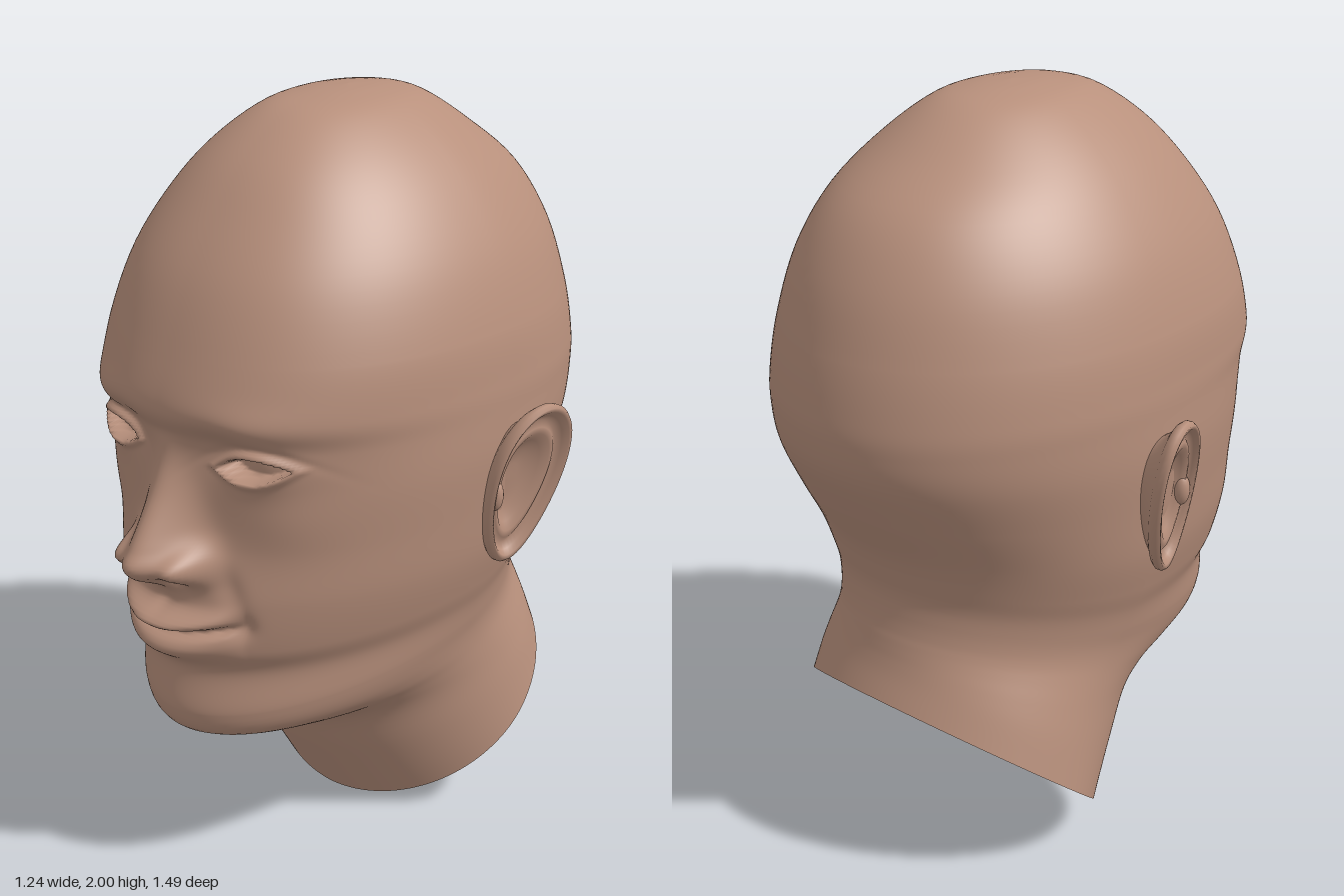
import * as THREE from 'three';

const V = (x, y, z) => new THREE.Vector3(x, y, z);
const bell = (d, s) => Math.exp(-(d * d) / (2 * s * s));
const smooth = THREE.MathUtils.smoothstep;

// Grid surface from rows of points, each row a closed loop
function loft(rows) {
  const n = rows[0].length, index = [];
  for (let i = 0; i + 1 < rows.length; i++) {
    for (let j = 0; j < n; j++) {
      const a = i * n + j, b = i * n + (j + 1) % n, c = a + n, d = b + n;
      index.push(a, c, b, b, c, d);
    }
  }
  const g = new THREE.BufferGeometry().setFromPoints(rows.flat());
  g.setIndex(index);
  g.computeVertexNormals();
  return g;
}

// Level crown sections: y, front z, back z, half width
const crown = [
  [2, -.07, -.07, 0],
  [1.992, .055, -.19, .085],
  [1.965, .18, -.295, .17],
  [1.88, .31, -.43, .28],
  [1.77, .415, -.575, .375],
  [1.63, .515, -.665, .455],
  [1.47, .585, -.718, .505],
];
// Tilting face and neck sections: front y, z | back y, z | side y, z, half width
const faceAndNeck = [
  [1.34, .622, 1.34, -.743, 1.34, -.11, .52],
  [1.26, .592, 1.26, -.746, 1.26, -.11, .522],
  [1.15, .575, 1.17, -.728, 1.15, -.1, .52],
  [1, .578, 1.05, -.668, 1.02, -.09, .505],
  [.85, .612, .93, -.6, .88, -.08, .485],
  [.72, .62, .84, -.568, .77, -.08, .455],
  [.64, .592, .79, -.558, .7, -.09, .43],
  [.52, .605, .74, -.56, .64, -.1, .415],
  [.45, .57, .7, -.566, .6, -.12, .405],
  [.415, .46, .675, -.572, .56, -.15, .4],
  [.39, .32, .65, -.578, .52, -.19, .4],
  [.34, .21, .62, -.586, .46, -.24, .405],
  [.2, .12, .58, -.6, .38, -.28, .415],
  [0, -.01, .522, -.625, .26, -.315, .428],
];

// Nose height and width, every 0.04 from the brow down
const nose = new THREE.CatmullRomCurve3([
  [0, .05], [0, .045], [.012, .04], [.028, .04], [.048, .042], [.07, .045], [.095, .048],
  [.12, .052], [.142, .058], [.158, .062], [.115, .06], [.03, .05], [0, .04],
].map(([d, s]) => V(d, s, 0)), false, 'catmullrom');

// Forward relief of the face at a point
function faceRelief(x, y) {
  const ax = Math.abs(x);
  let d = 0;
  // Nose, wings and nostrils
  if (y < 1.32 && y > .84) {
    const p = nose.getPoint((1.32 - y) / .48);
    d += Math.max(0, p.x) * bell(ax, p.y);
  }
  d += .065 * bell(ax - .098, .026) * bell(y - .955, .032);
  d -= .035 * bell(ax - .05, .022) * bell(y - .91, .012);
  // Brow, eye socket and cheekbone
  d += .014 * bell(ax - .22, .1) * bell(y - 1.325, .035);
  d -= .03 * bell(ax - .15, .055) * bell(y - 1.245, .05);
  d += .012 * bell(ax - .3, .07) * bell(y - 1.08, .07);
  // Eyelids around a sunken almond opening
  const ex = (ax - .225) / .088, ey = y - 1.216 - .006 * ex;
  d += .024 * bell(ax - .235, .07) * bell(y - 1.215, .04);
  const lens = Math.abs(ey) / .03 + ex * ex;
  d += .012 * bell(lens - 1.3, .25);
  d -= .045 * (1 - smooth(lens, .75, 1.05));
  d -= .008 * bell(ax - .235, .08) * bell(y - 1.27 + .02 * ex * ex, .009);
  // Lips along a gently smiling line
  const line = .765 + .026 * (ax / .18) ** 2;
  const taper = Math.max(0, 1 - (ax / .2) ** 2);
  d += .058 * taper * bell(y - line - .024, .02);
  d += .042 * taper * bell(y - line + .045, .026);
  d -= .035 * (1 - smooth(ax, .15, .2)) * bell(y - line, .009);
  d -= .018 * bell(ax - .195, .018) * bell(y - .795, .022);
  // Groove between nose and lip, and smile folds
  d -= .008 * bell(ax, .018) * bell(y - .85, .03);
  d -= .008 * bell(ax - .16 - (.93 - y) * .35, .02) * bell(y - .89, .05);
  return d;
}

function headGeometry() {
  const sections = [...crown.map(([y, f, b, w]) => [y, f, y, b, y, -.07 - .04 * w, w]), ...faceAndNeck];
  const curve = f => new THREE.CatmullRomCurve3(sections.map(f), false, 'catmullrom');
  const front = curve(s => V(0, s[0], s[1]));
  const back = curve(s => V(0, s[2], s[3]));
  const side = curve(s => V(s[6], s[4], s[5]));
  const last = sections.length - 1, cols = 240, rows = [];
  for (let k = 0; k < last; k++) {
    // Rows are finest between brow and chin
    const steps = k >= 6 && k < 14 ? 18 : 5;
    for (let q = 0; q < steps + (k === last - 1 ? 1 : 0); q++) {
      const t = (k + q / steps) / last;
      const f = front.getPoint(t), b = back.getPoint(t), m = side.getPoint(t);
      const fullness = 1.92 + .32 * smooth(f.y, .6, 1.15);
      rows.push(Array.from({ length: cols }, (_, j) => {
        // Columns gather toward the face
        const u = 2 * j / cols - 1, a = Math.PI * (.5 * u + .5 * u ** 3);
        const c = Math.cos(a), s = Math.sin(a);
        const end = c > 0 ? f : b, e = c > 0 ? 2 / fullness : 1;
        const ca = Math.abs(c) ** e;
        const p = V(Math.sign(s) * Math.abs(s) ** e * m.x,
          m.y + (end.y - m.y) * ca, m.z + (end.z - m.z) * ca);
        if (p.z > .2) p.z += faceRelief(p.x, p.y) * smooth(p.z, .2, .4);
        return p;
      }));
    }
  }
  return loft(rows);
}

// Ear rings from the hollow, over the rim and round behind: scale, outward offset
const earRings = [
  [0, -.03], [.2, -.031], [.38, -.028], [.52, -.012], [.62, .002], [.7, .002], [.78, -.008],
  [.85, .006], [.91, .019], [.96, .021], [1, .01], [1, -.004], [.95, -.016], [.82, -.03],
  [.7, -.06], [.62, -.1],
];

function earGeometry() {
  const n = 56;
  return loft(earRings.map(([s, o]) => Array.from({ length: n }, (_, j) => {
    const a = 2 * Math.PI * j / n;
    const v = .218 * s * Math.sin(a) + (1 - s) * .01;
    const u = .108 * s * Math.cos(a) * (1 + .22 * Math.sin(a)) - (1 - s) * .02;
    const z = -.108 - u - .11 * v;
    return V(.545 + .25 * (-z - .1) + .17 * v + o, 1.063 + v, z);
  })));
}

export function createModel() {
  const group = new THREE.Group();
  const skin = new THREE.MeshStandardMaterial({ color: 0xb8907c, side: THREE.DoubleSide });
  skin.name = 'skin';
  const add = (name, geometry, parent) => {
    const mesh = new THREE.Mesh(geometry, skin);
    mesh.name = name;
    parent.add(mesh);
    return mesh;
  };

  add('headAndNeck', headGeometry(), group);

  // Ears, mirrored
  const ear = earGeometry();
  const flap = new THREE.SphereGeometry(1, 20, 14);
  for (const s of [1, -1]) {
    const side = new THREE.Group();
    side.name = s > 0 ? 'leftEar' : 'rightEar';
    side.scale.x = s;
    add('earShell', ear, side);
    const tragus = add('earFlap', flap, side);
    tragus.scale.set(.022, .042, .02);
    tragus.position.set(.52, 1.05, -.03);
    group.add(side);
  }
  return group;
}
